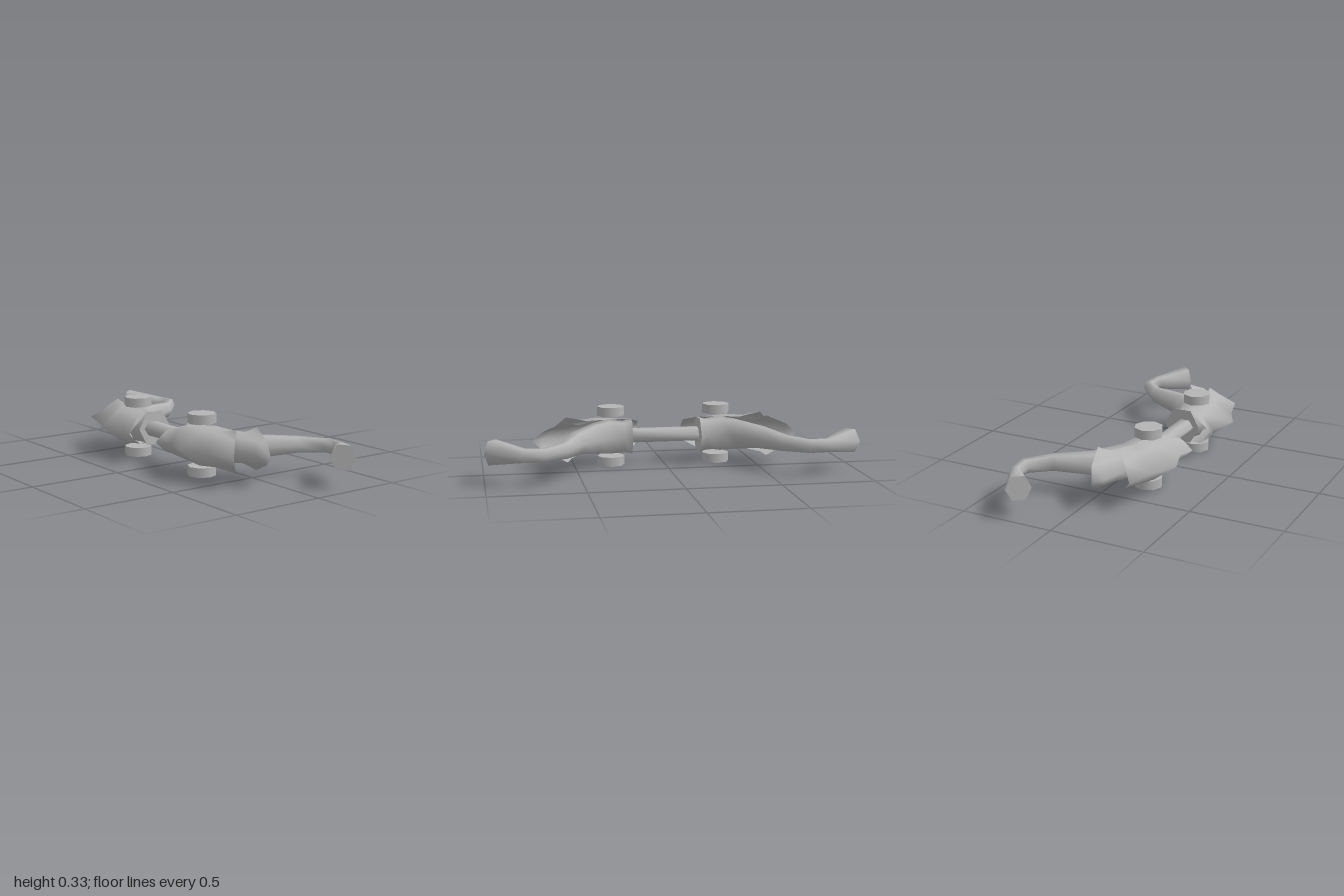
import * as THREE from 'three';

const steel = new THREE.MeshStandardMaterial({ color: 0xb4b4b4, side: THREE.DoubleSide });
steel.name = 'grey steel';

// Skins rows of points; closed rows form a tube, open rows a shell.
function loft(rows, closed) {
  const n = rows[0].length, index = [];
  const span = closed ? n : n - 1;
  for (let i = 0; i < rows.length - 1; i++) {
    for (let j = 0; j < span; j++) {
      const k = (j + 1) % n;
      const a = i * n + j, b = i * n + k, c = a + n, d = b + n;
      index.push(a, c, b, b, c, d);
    }
  }
  const geo = new THREE.BufferGeometry();
  geo.setAttribute('position', new THREE.Float32BufferAttribute(rows.flat(2), 3));
  geo.setIndex(index);
  geo.computeVertexNormals();
  return geo;
}

// Flat end cover with its own normals.
function cap(row, forward) {
  const pts = forward ? row : [...row].reverse();
  const index = [];
  for (let i = 1; i < pts.length - 1; i++) index.push(0, i + 1, i);
  const geo = new THREE.BufferGeometry();
  geo.setAttribute('position', new THREE.Float32BufferAttribute(pts.flat(), 3));
  geo.setIndex(index);
  geo.computeVertexNormals();
  return geo;
}

// Six-sided section between an inner and outer point in the bow plane.
function hexRing([x0, z0, x1, z1, h]) {
  const at = (t, y) => [x0 + (x1 - x0) * t, y, z0 + (z1 - z0) * t];
  return [at(0, 0), at(0.25, h), at(0.75, h), at(1, 0), at(0.75, -h), at(0.25, -h)];
}

// V-shaped section: ridge, shoulder and edge, mirrored above and below.
function foldRow([rx, rz, sx, sz, sh, ex, ez, eh]) {
  return [[ex, -eh, ez], [sx, -sh, sz], [rx, 0, rz], [sx, sh, sz], [ex, eh, ez]];
}

function add(parent, name, geo) {
  const mesh = new THREE.Mesh(geo, steel);
  mesh.name = name;
  parent.add(mesh);
  return mesh;
}

function makeHalf(name) {
  const half = new THREE.Group();
  half.name = name;

  // Curved limb: inner x, z, outer x, z, half height
  const rings = [
    [-0.235, 0.185, -0.03, 0.19, 0.092],
    [-0.21, 0.23, -0.06, 0.23, 0.078],
    [-0.23, 0.32, -0.045, 0.30, 0.088],
    [-0.17, 0.41, -0.025, 0.37, 0.078],
    [-0.005, 0.555, 0.07, 0.46, 0.056],
    [0.205, 0.625, 0.25, 0.56, 0.04],
    [0.295, 0.71, 0.36, 0.69, 0.034],
    [0.29, 0.785, 0.35, 0.81, 0.034],
    [0.15, 0.915, 0.25, 1.0, 0.063],
  ].map(hexRing);
  add(half, 'limb', loft(rings, true));
  add(half, 'limbRoot', cap(rings[0], false));
  add(half, 'limbTip', cap(rings[rings.length - 1], true));

  // Armour shells: ridge x, z, shoulder x, z, h, edge x, z, h
  add(half, 'frontPlate', loft([
    [-0.34, 0.125, -0.30, 0.128, 0.04, -0.27, 0.13, 0.06],
    [-0.31, 0.21, -0.245, 0.20, 0.075, -0.18, 0.20, 0.088],
    [-0.362, 0.365, -0.24, 0.37, 0.09, -0.14, 0.36, 0.092],
    [-0.295, 0.50, -0.21, 0.46, 0.086, -0.155, 0.43, 0.086],
    [-0.25, 0.663, -0.185, 0.59, 0.065, -0.14, 0.545, 0.113],
  ].map(foldRow), false));
  add(half, 'rearPlate', loft([
    [-0.24, 0.36, -0.20, 0.36, 0.07, -0.15, 0.36, 0.088],
    [-0.175, 0.45, -0.145, 0.44, 0.07, -0.10, 0.43, 0.084],
    [-0.15, 0.57, -0.11, 0.54, 0.06, -0.06, 0.49, 0.08],
    [-0.12, 0.68, -0.08, 0.62, 0.06, -0.035, 0.525, 0.095],
    [-0.08, 0.738, -0.045, 0.67, 0.058, -0.015, 0.55, 0.112],
  ].map(foldRow), false));

  // Eight-sided discs above and below
  for (const s of [1, -1]) {
    const disc = add(half, s > 0 ? 'upperDisc' : 'lowerDisc',
      new THREE.CylinderGeometry(0.075, 0.075, 0.05, 8));
    disc.position.set(-0.17, s * 0.138, 0.295);
  }
  return half;
}

export function createModel() {
  const model = new THREE.Group();
  model.name = 'bow';
  const body = new THREE.Group();
  body.name = 'bowBody';
  body.position.y = 0.163;
  model.add(body);

  // Straight handle
  const grip = [-0.19, 0.19].map(z => hexRing([-0.2, z, -0.1, z, 0.036]));
  add(body, 'grip', loft(grip, true));

  // Each half is symmetric in height, so a half turn mirrors it
  body.add(makeHalf('frontHalf'));
  const back = makeHalf('backHalf');
  back.rotation.x = Math.PI;
  body.add(back);
  return model;
}
